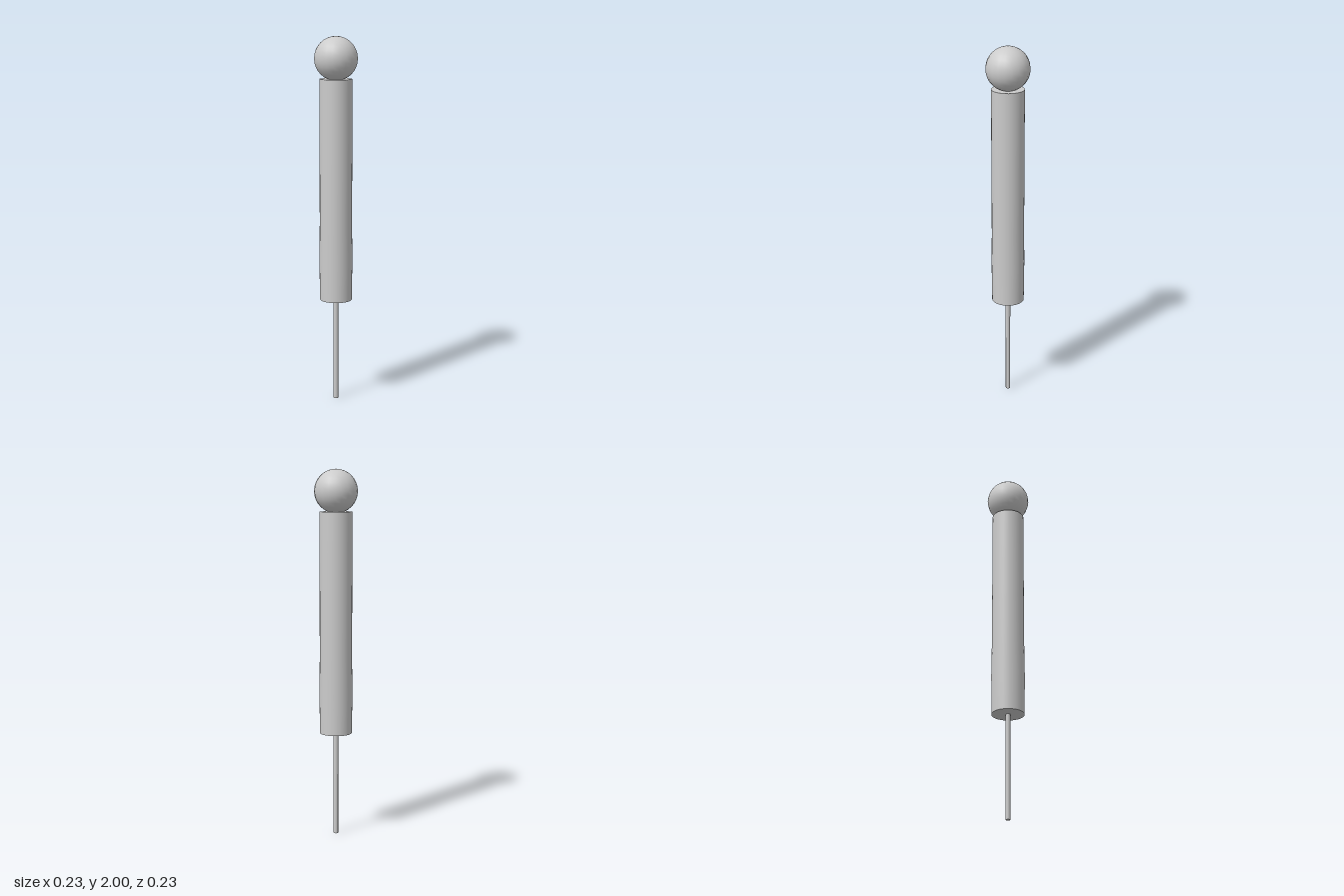
import * as THREE from 'three';

export function createModel() {
  const group = new THREE.Group();
  const material = new THREE.MeshStandardMaterial({ color: 0xcccccc });
  const add = (name, geometry, y) => {
    const mesh = new THREE.Mesh(geometry, material);
    mesh.name = name;
    mesh.position.y = y;
    group.add(mesh);
    return mesh;
  };

  // Thin stick, reaching a little way into the body
  add('stick', new THREE.CylinderGeometry(0.013, 0.013, 0.62, 12), 0.31);

  // Long tube with flat ends, very slightly fuller near the lower end
  const bottom = 0.57, top = 1.775, height = top - bottom;
  const tube = new THREE.CylinderGeometry(0.088, 0.088, height, 32, 16);
  const p = tube.attributes.position;
  for (let i = 0; i < p.count; i++) {
    const y = p.getY(i) + (bottom + top) / 2;
    const swell = 1 + 0.025 * Math.exp(-(((y - 0.79) / 0.12) ** 2));
    p.setX(i, p.getX(i) * swell);
    p.setZ(i, p.getZ(i) * swell);
  }
  add('body', tube, (bottom + top) / 2);

  // Round ball resting in the top of the tube
  add('ball', new THREE.SphereGeometry(0.117, 20, 16), 1.883);

  return group;
}
